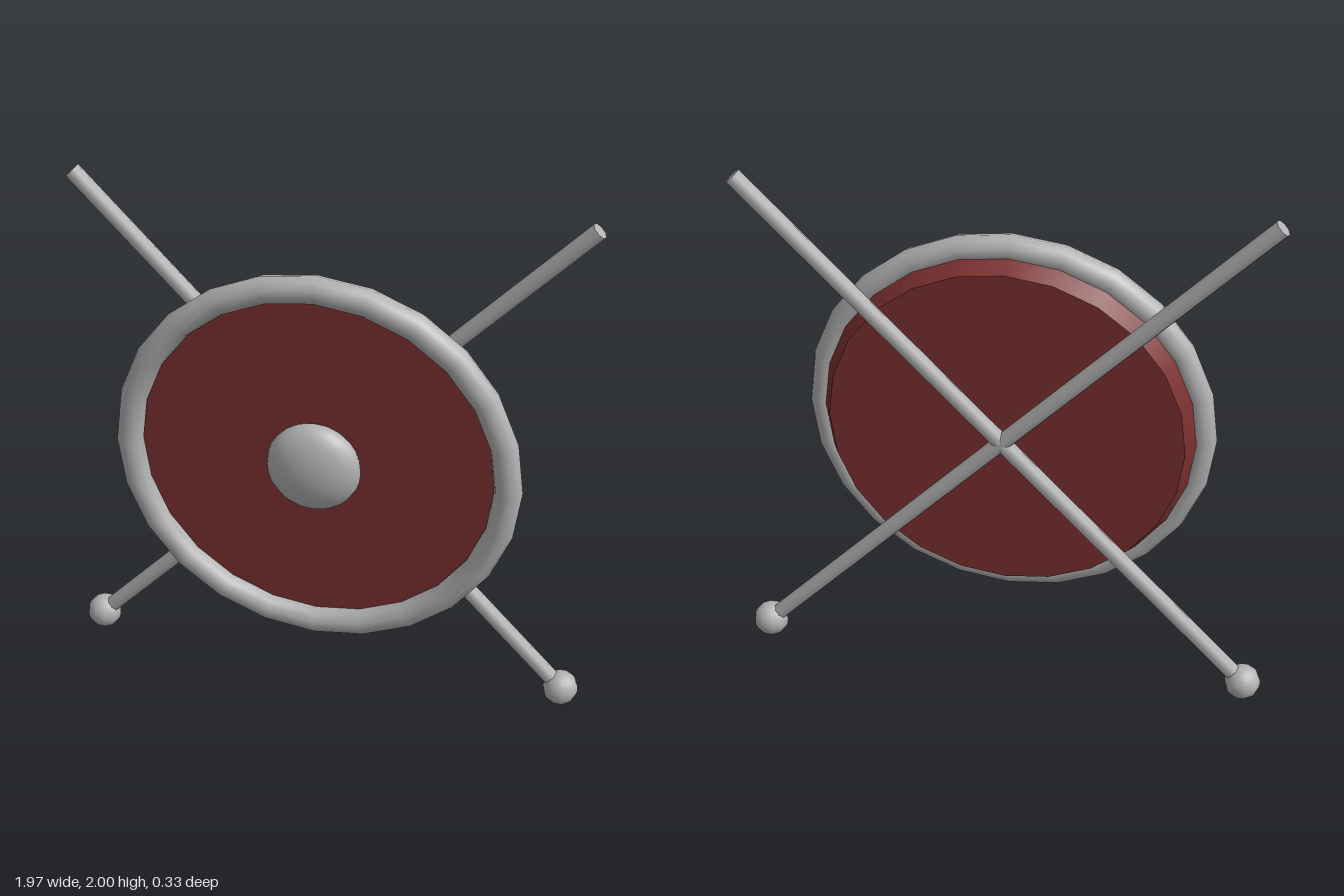
import * as THREE from 'three';

const CENTER_Y = 1.027;

export function createModel() {
  const silver = new THREE.MeshStandardMaterial({ color: 0xb2b2b2 });
  silver.name = 'silver';
  const red = new THREE.MeshStandardMaterial({ color: 0x7c3030 });
  red.name = 'dark red';

  const model = new THREE.Group();
  model.name = 'shieldWithCrossedRods';

  function add(parent, name, geometry, material, x, y, z) {
    const mesh = new THREE.Mesh(geometry, material);
    mesh.name = name;
    mesh.position.set(x, y, z);
    parent.add(mesh);
    return mesh;
  }

  // Shield: tapered disc, rim and flattened boss
  const shield = new THREE.Group();
  shield.name = 'shield';
  model.add(shield);

  const disc = new THREE.CylinderGeometry(0.695, 0.645, 0.1, 24);
  disc.rotateX(Math.PI / 2);
  add(shield, 'disc', disc, red, 0, CENTER_Y, 0);

  add(shield, 'rim', new THREE.TorusGeometry(0.695, 0.05, 10, 24), silver, 0, CENTER_Y, 0.058);

  const boss = new THREE.SphereGeometry(0.172, 20, 14);
  boss.scale(1, 1, 0.5);
  add(shield, 'boss', boss, silver, 0, CENTER_Y, 0.082);

  // Crossed rods behind the shield, each with a ball at its lower end
  for (const side of [-1, 1]) {
    const rod = new THREE.Group();
    rod.name = side > 0 ? 'leftRod' : 'rightRod';
    model.add(rod);

    const bottom = new THREE.Vector3(side * 0.917, 0.067, -0.102);
    const top = new THREE.Vector3(-side * 0.913, 1.98, -0.102);
    const along = top.clone().sub(bottom);
    const mid = bottom.clone().add(top).multiplyScalar(0.5);

    const shaft = add(rod, 'shaft', new THREE.CylinderGeometry(0.031, 0.031, along.length(), 8),
      silver, mid.x, mid.y, mid.z);
    shaft.quaternion.setFromUnitVectors(new THREE.Vector3(0, 1, 0), along.normalize());

    add(rod, 'pommel', new THREE.SphereGeometry(0.067, 10, 12), silver, bottom.x, bottom.y, bottom.z);
  }

  return model;
}
